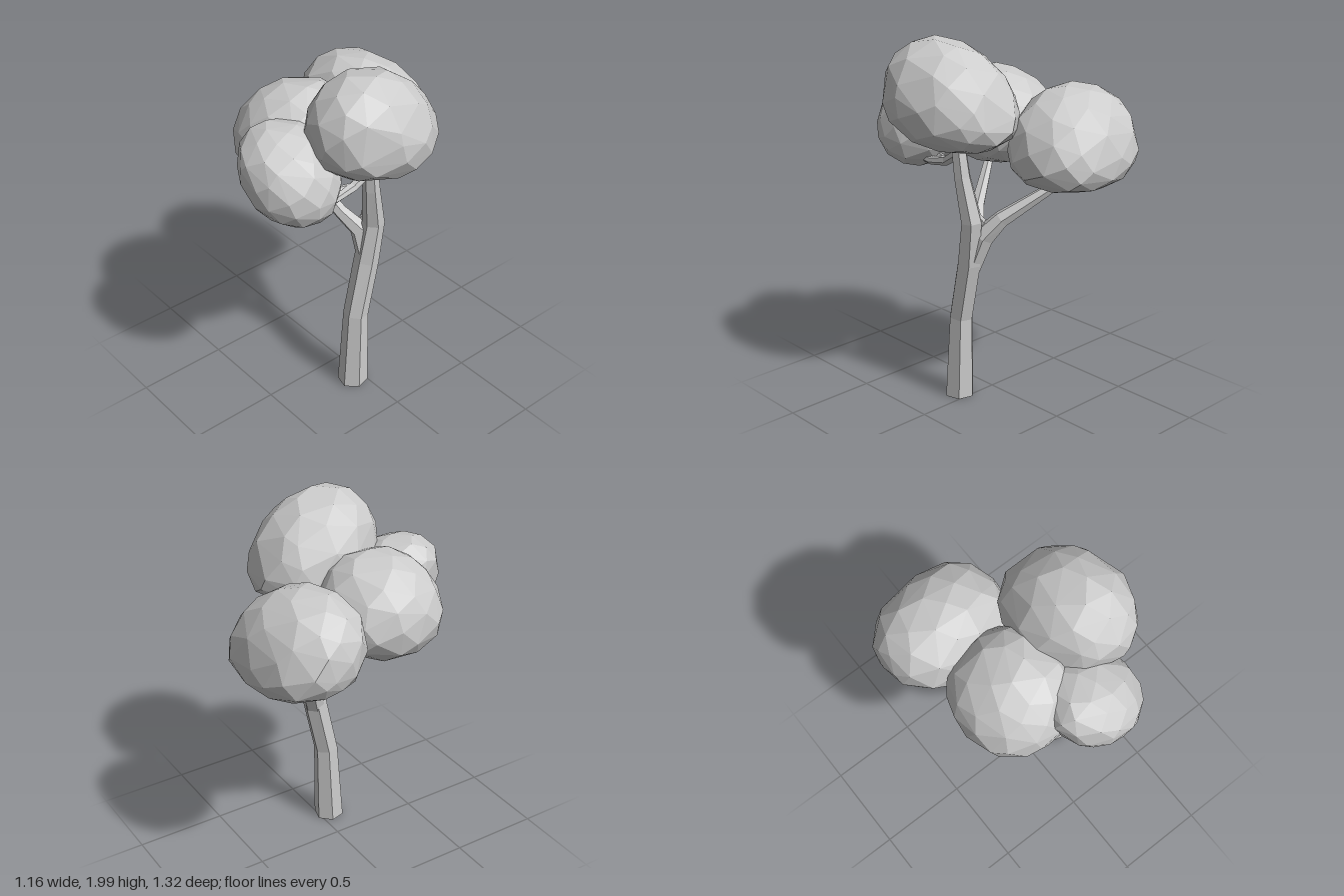
import * as THREE from 'three';
import { ConvexGeometry } from 'three/addons/geometries/ConvexGeometry.js';

const material = new THREE.MeshStandardMaterial({ color: 0xcccccc, flatShading: true });
const UP = new THREE.Vector3(0, 1, 0);

function seeded(seed) {
  return () => (seed = (seed * 16807) % 2147483647) / 2147483647;
}

// Tapered six-sided limb; each stop is [x, y, z, radius]
function limb(name, stops, sides = 6) {
  const pts = stops.map(s => new THREE.Vector3(s[0], s[1], s[2]));
  const pos = [], index = [], last = stops.length - 1;
  pts.forEach((p, i) => {
    const dir = pts[Math.min(i + 1, last)].clone().sub(pts[Math.max(i - 1, 0)]).normalize();
    if (p.y === 0) dir.copy(UP); // level foot
    const turn = new THREE.Quaternion().setFromUnitVectors(UP, dir);
    for (let k = 0; k < sides; k++) {
      const a = (k + 0.25) / sides * Math.PI * 2;
      const v = new THREE.Vector3(Math.sin(a), 0, Math.cos(a)).multiplyScalar(stops[i][3]);
      pos.push(...v.applyQuaternion(turn).add(p).toArray());
      if (i < last) {
        const a0 = i * sides + k, b0 = i * sides + (k + 1) % sides;
        index.push(a0, b0, b0 + sides, a0, b0 + sides, a0 + sides);
      }
    }
  });
  // End caps
  for (let k = 1; k < sides - 1; k++) {
    index.push(0, k + 1, k);
    index.push(last * sides, last * sides + k, last * sides + k + 1);
  }
  const g = new THREE.BufferGeometry();
  g.setAttribute('position', new THREE.Float32BufferAttribute(pos, 3));
  g.setIndex(index);
  const flat = g.toNonIndexed();
  flat.computeVertexNormals();
  const mesh = new THREE.Mesh(flat, material);
  mesh.name = name;
  return mesh;
}

// Faceted foliage: hull of jittered points on a rounded form.
// plan, above, below: fullness of outline; lean shifts with height; tilt slopes the girth
function foliage({ name, at, rx, rz, up, down, plan = 2, above = 2, below = 2.4,
  lean = [0, 0], tilt = [0, 0], yaw = 0, seed }) {
  const rand = seeded(seed), points = [], count = 76;
  for (let i = 0; i < count; i++) {
    const y = 1 - 2 * (i + 0.5) / count;
    const a = i * 2.39996 + (rand() - 0.5) * 0.35;
    const h = Math.sqrt(1 - y * y);
    const d = new THREE.Vector3(Math.cos(a) * h, y + (rand() - 0.5) * 0.1, Math.sin(a) * h).normalize();
    const n = d.y < 0 ? below : above;
    const girth = (Math.abs(d.x) ** plan + Math.abs(d.z) ** plan) ** (1 / plan);
    d.multiplyScalar(1.015 / (girth ** n + Math.abs(d.y) ** n) ** (1 / n));
    const v = new THREE.Vector3(d.x * rx, d.y * (d.y > 0 ? up : down), d.z * rz);
    v.applyAxisAngle(UP, yaw);
    const slope = v.x * tilt[0] + v.z * tilt[1];
    v.x += v.y * lean[0];
    v.z += v.y * lean[1];
    v.y += slope;
    points.push(v);
  }
  const mesh = new THREE.Mesh(new ConvexGeometry(points), material);
  mesh.position.set(...at);
  mesh.name = name;
  return mesh;
}

export function createModel() {
  const tree = new THREE.Group();
  tree.name = 'tree';

  // Trunk with its bend, and the branches that carry the foliage
  tree.add(
    limb('trunk', [
      [0.19, 0, 0.06, 0.084], [0.19, 0.47, 0.042, 0.068], [0.192, 0.8, -0.028, 0.068],
      [0.205, 1.04, -0.062, 0.06], [0.23, 1.28, -0.02, 0.046], [0.24, 1.5, 0.005, 0.038]]),
    limb('backBranch', [
      [0.18, 0.78, -0.035, 0.055], [0.145, 0.95, -0.085, 0.062],
      [0.085, 1.05, -0.16, 0.046], [-0.18, 1.27, -0.38, 0.022]]),
    limb('middleBranch', [
      [0.19, 0.83, -0.03, 0.055], [0.145, 0.98, -0.02, 0.054],
      [0.06, 1.08, 0.045, 0.038], [-0.12, 1.3, 0.14, 0.024]]),
    limb('forkBrace', [[0.13, 1.0, -0.05, 0.04], [0.175, 1.04, -0.065, 0.038], [0.22, 1.12, -0.05, 0.02]]),
    limb('frontBranch', [
      [0.235, 1.4, 0.0, 0.03], [0.23, 1.34, 0.1, 0.027], [0.23, 1.315, 0.22, 0.022], [0.22, 1.32, 0.37, 0.014]]),
    limb('frontTwig', [[0.22, 1.34, 0.12, 0.02], [0.17, 1.33, 0.24, 0.017], [0.12, 1.34, 0.34, 0.01]])
  );

  // Four clumps of foliage
  const clumps = [
    { name: 'topFoliage', at: [0.27, 1.652, 0.018], rx: 0.3, rz: 0.365, up: 0.345, down: 0.205,
      above: 1.93, lean: [0.06, 0.17], tilt: [-0.02, 0.06], yaw: 0.18, seed: 11 },
    { name: 'backFoliage', at: [-0.22, 1.42, -0.38], rx: 0.36, rz: 0.285, up: 0.32, down: 0.19,
      plan: 2.45, above: 2.1, below: 2.6, lean: [-0.12, 0.17], yaw: 0.11, seed: 23 },
    { name: 'middleFoliage', at: [-0.17, 1.49, 0.14], rx: 0.31, rz: 0.32, up: 0.295, down: 0.225,
      plan: 2.2, lean: [0.1, 0], seed: 37 },
    { name: 'frontFoliage', at: [0.11, 1.49, 0.41], rx: 0.255, rz: 0.25, up: 0.237, down: 0.235,
      above: 2.3, below: 2.1, lean: [-0.15, 0.06], tilt: [-0.12, 0], seed: 53 }
  ];
  clumps.forEach(c => tree.add(foliage(c)));
  return tree;
}
